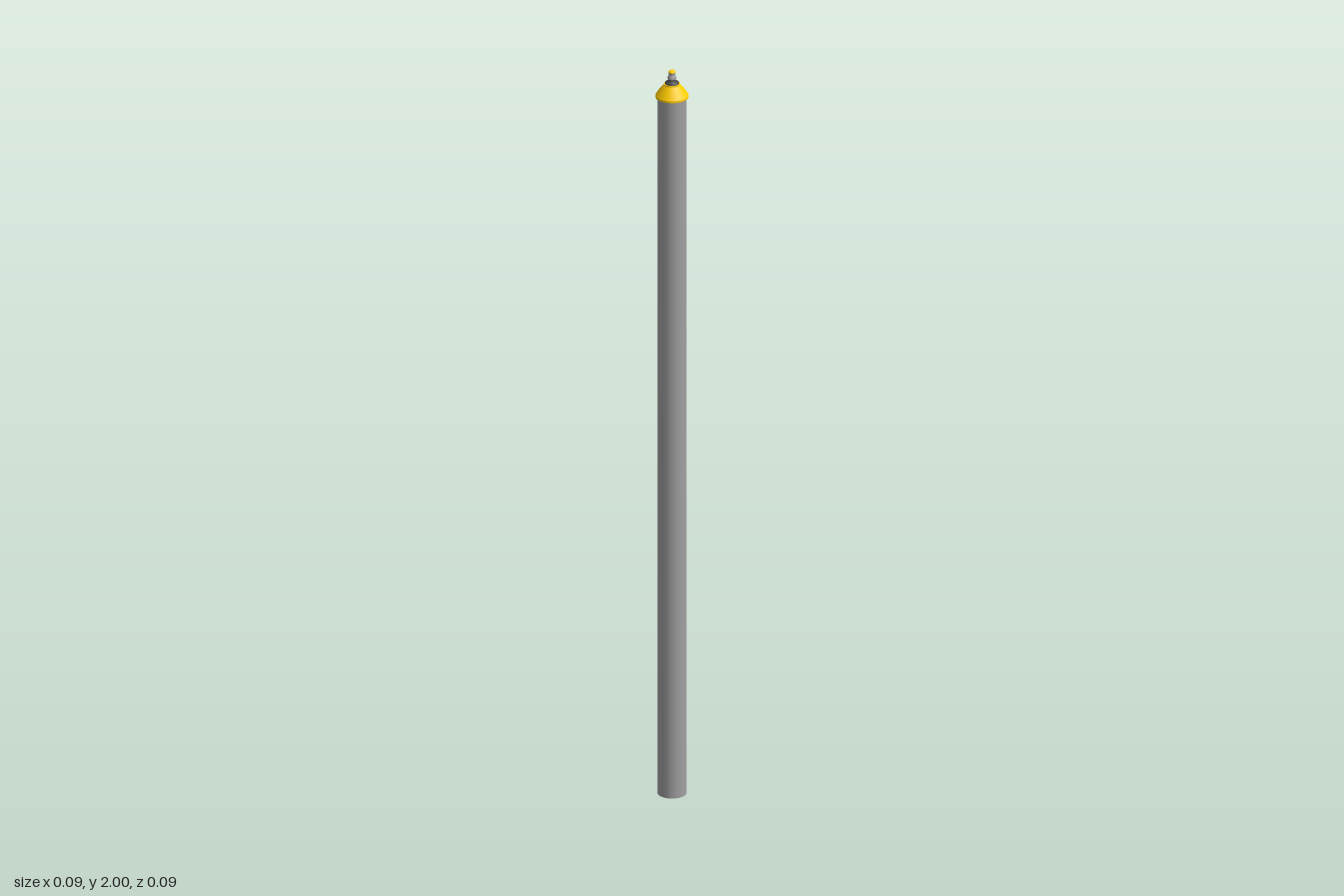
import * as THREE from 'three';

const SIDES = 24;
const grey = new THREE.MeshStandardMaterial({ color: 0xa0a0a0 });
const yellow = new THREE.MeshStandardMaterial({ color: 0xffcc00 });
const dark = new THREE.MeshStandardMaterial({ color: 0x4a4a4a });

// Turned part; each profile section gets its own normals so its ends stay crisp
function turned(name, material, sections) {
  const group = new THREE.Group();
  group.name = name;
  sections.forEach((points, i) => {
    const profile = points.map(([r, y]) => new THREE.Vector2(r, y));
    const mesh = new THREE.Mesh(new THREE.LatheGeometry(profile, SIDES), material);
    mesh.name = `${name}Section${i + 1}`;
    group.add(mesh);
  });
  return group;
}

export function createModel() {
  const model = new THREE.Group();
  model.name = 'post';

  // Long plain shaft
  const shaft = new THREE.Mesh(new THREE.CylinderGeometry(0.037, 0.037, 1.93, SIDES), grey);
  shaft.name = 'shaft';
  shaft.position.y = 1.93 / 2;
  model.add(shaft);

  // Overhanging conical cap with a thin rim
  model.add(turned('cap', yellow, [
    [[0, 1.927], [0.0425, 1.927]],
    [[0.0425, 1.927], [0.0425, 1.932]],
    [[0.0425, 1.932], [0.032, 1.948], [0.021, 1.961]],
    [[0.021, 1.961], [0.021, 1.964]],
    [[0.021, 1.964], [0, 1.964]],
  ]));

  // Dark ringed collar
  model.add(turned('collar', dark, [
    [[0.018, 1.963], [0.018, 1.967], [0.012, 1.971]],
    [[0.012, 1.971], [0.008, 1.974], [0.011, 1.977]],
  ]));

  // Lighter tapering stem
  model.add(turned('stem', grey, [
    [[0.011, 1.977], [0.011, 1.982], [0.007, 1.989]],
  ]));

  // Small finial: grey band under a yellow button
  model.add(turned('finialBand', grey, [
    [[0, 1.988], [0.009, 1.988]],
    [[0.009, 1.988], [0.009, 1.994]],
  ]));
  model.add(turned('finial', yellow, [
    [[0.009, 1.994], [0.009, 1.997]],
    [[0.009, 1.997], [0.006, 2], [0, 2]],
  ]));

  return model;
}
